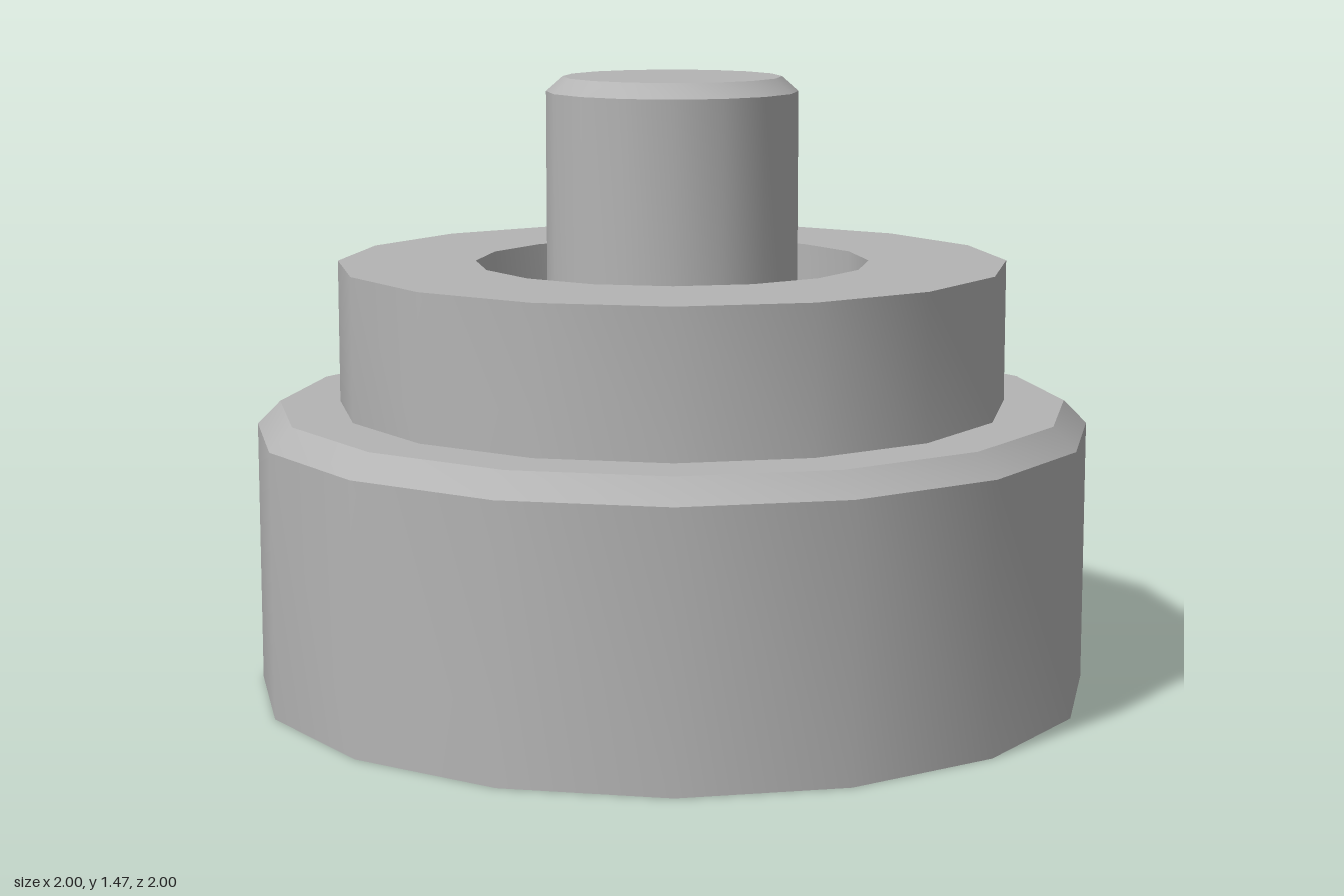
import * as THREE from 'three';
import { toCreasedNormals } from 'three/addons/utils/BufferGeometryUtils.js';

const SIDES = 16;

// Turned part from [radius, height] pairs, listed up the outside
function turned(name, profile, material) {
  const points = profile.map(([r, y]) => new THREE.Vector2(r, y));
  const geometry = toCreasedNormals(new THREE.LatheGeometry(points, SIDES), 0.5);
  const mesh = new THREE.Mesh(geometry, material);
  mesh.name = name;
  return mesh;
}

export function createModel() {
  const model = new THREE.Group();
  model.name = 'steppedButton';

  const grey = new THREE.MeshStandardMaterial({ color: 0xb4b4b4 });
  grey.name = 'plain grey';
  grey.side = THREE.DoubleSide;

  // Stepped housing with a chamfered shoulder and a straight bore
  model.add(turned('housing', [
    [0.47, 0], [1, 0], [1, 0.63], [0.945, 0.685],
    [0.8, 0.685], [0.8, 1.025], [0.47, 1.025], [0.47, 0],
  ], grey));

  // Hollow flare joining the pin to the lower rim of the bore
  model.add(turned('pinFlare', [[0.47, 0], [0.3, 0.6]], grey));

  // Central pin with a chamfered tip
  model.add(turned('pin', [[0.3, 0.6], [0.3, 1.43], [0.26, 1.465], [0, 1.465]], grey));

  return model;
}
